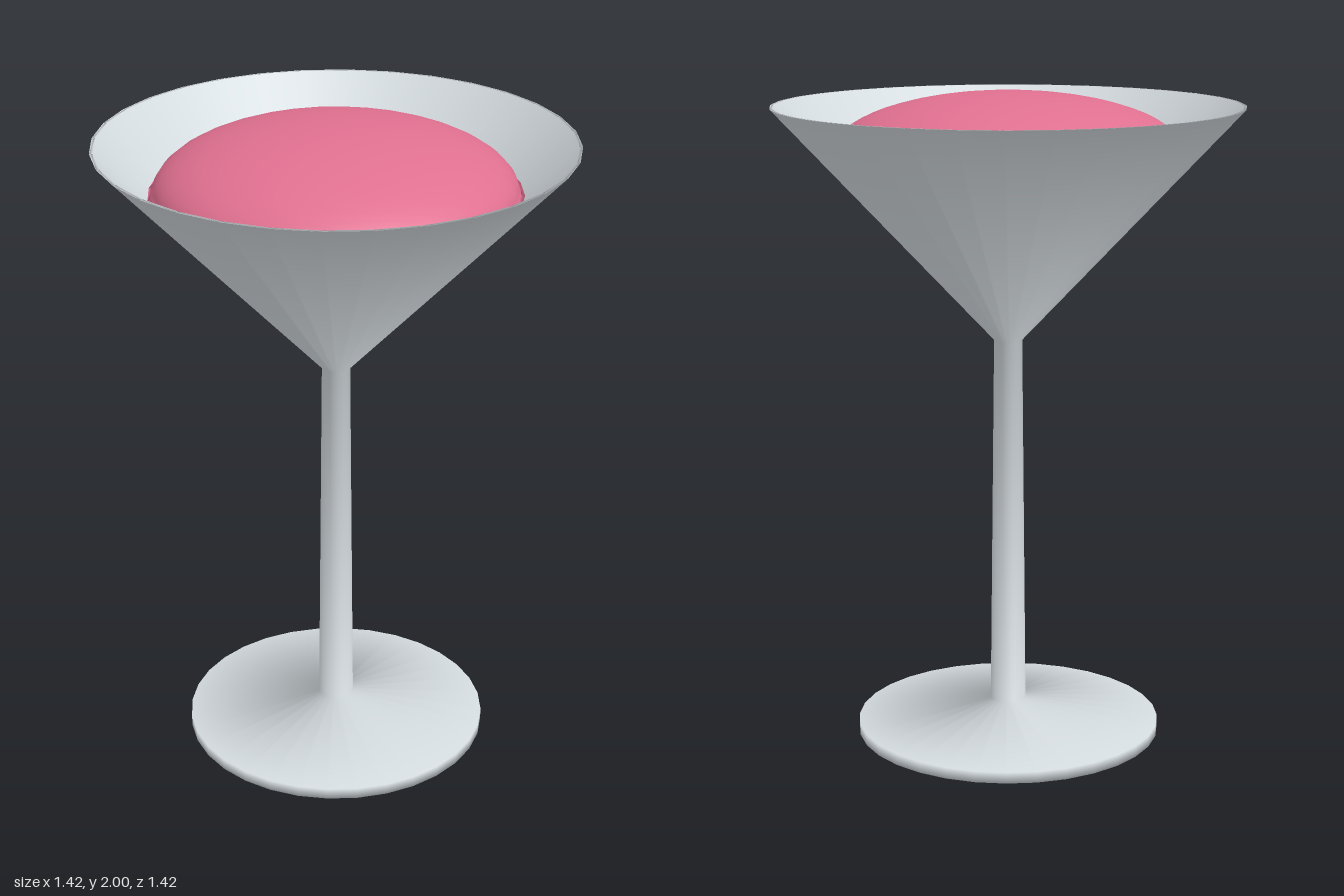
import * as THREE from 'three';

const SEGMENTS = 32;

// Spin a profile of [radius, height] pairs around the y axis
function lathe(name, profile, material) {
  const points = profile.map(([r, y]) => new THREE.Vector2(r, y));
  const mesh = new THREE.Mesh(new THREE.LatheGeometry(points, SEGMENTS), material);
  mesh.name = name;
  return mesh;
}

export function createModel() {
  const glass = new THREE.MeshStandardMaterial({ color: 0xd4dbdf });
  glass.name = 'pale grey glass';
  const pink = new THREE.MeshStandardMaterial({ color: 0xe07090 });
  pink.name = 'pink drink';

  const group = new THREE.Group();
  group.name = 'cocktailGlass';

  // Foot, tapered stem and thin-walled conical bowl in one smooth profile
  group.add(lathe('glass', [
    [0, 0], [0.472, 0], [0.472, 0.035],   // underside and edge of the foot
    [0.055, 0.097], [0.043, 1.25],        // slope of the foot, stem
    [0.708, 1.96], [0.698, 1.96],         // outer bowl and lip
    [0, 1.22],                            // inner bowl
  ], glass));

  // Drink: cone filling the bowl, narrow ledge, then a flattened dome
  const drink = [[0, 1.235], [0.548, 1.81], [0.536, 1.812]];
  const steps = 14;
  for (let i = 1; i <= steps; i++) {
    const a = (i / steps) * Math.PI / 2;
    drink.push([i === steps ? 0 : 0.536 * Math.cos(a), 1.812 + 0.188 * Math.sin(a)]);
  }
  group.add(lathe('drink', drink, pink));

  return group;
}
